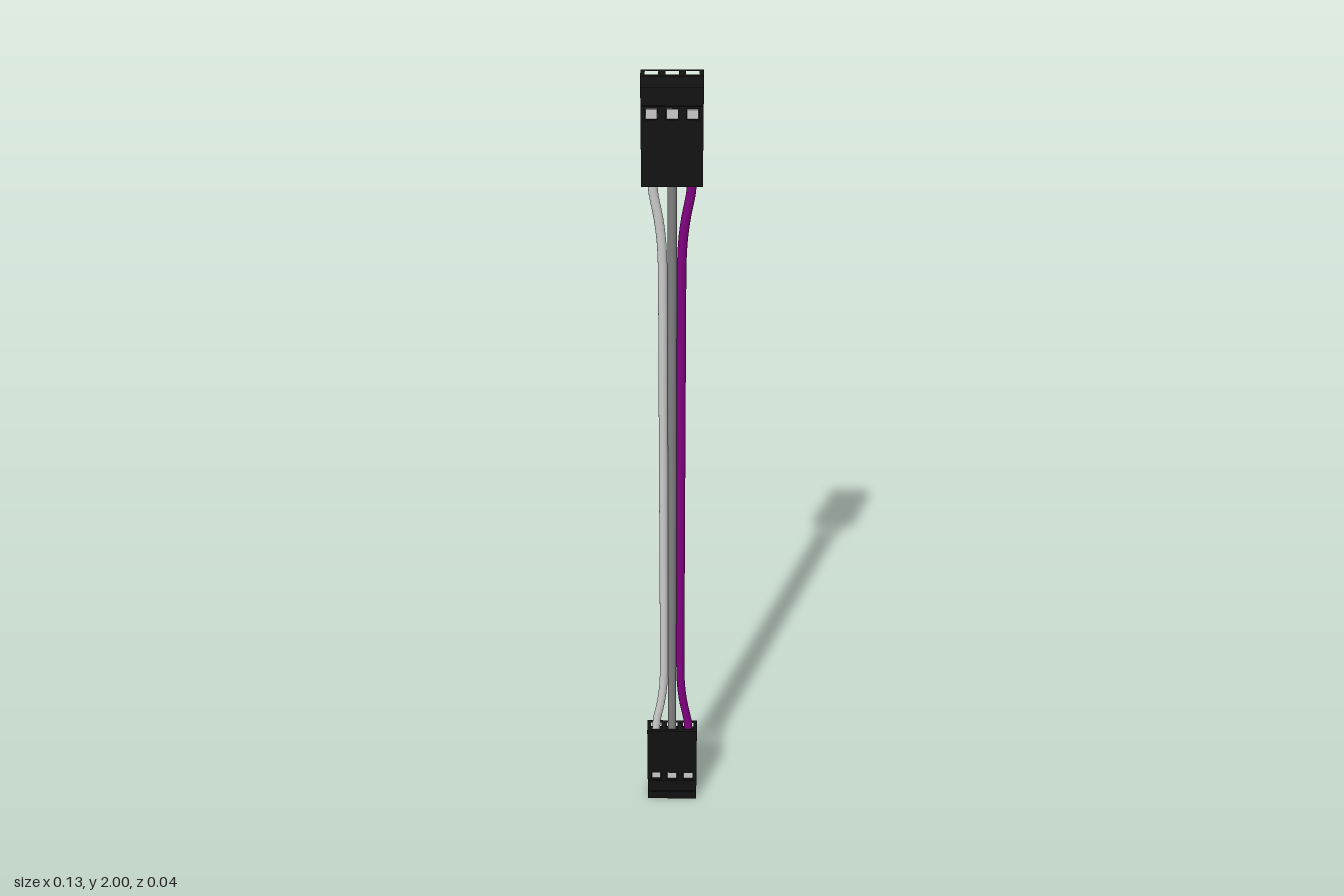
import * as THREE from 'three';

const W = 0.066;        // connector half width
const BACK = -0.022;    // connector back plane
const FRONT = 0.022;    // connector front plane
const PITCH = 0.043;    // spacing of the three pins
const H = 0.24;         // connector height
const pins = [-PITCH, 0, PITCH];

const black = new THREE.MeshStandardMaterial({ color: 0x111111 });
const metal = new THREE.MeshStandardMaterial({ color: 0xcccccc });

// One horizontal slice of the housing, extruded from y0 to y1.
function slice(y0, y1, { front = FRONT, notched, sockets, windows } = {}) {
  const s = new THREE.Shape(); // drawn in x and -z
  const pts = [];
  if (notched) pts.push([-W, 0], [-W + 0.007, 0], [-W + 0.007, BACK], [W - 0.007, BACK], [W - 0.007, 0], [W, 0]);
  else pts.push([-W, BACK], [W, BACK]);
  pts.push([W, front]);
  if (windows) {
    for (const x of [...pins].reverse()) {
      pts.push([x + 0.013, front], [x + 0.013, front - 0.01], [x - 0.013, front - 0.01], [x - 0.013, front]);
    }
  }
  pts.push([-W, front]);
  s.setFromPoints(pts.map(([x, z]) => new THREE.Vector2(x, -z)));
  if (sockets) {
    for (const x of pins) {
      const a = 0.014, b = 0.013;
      s.holes.push(new THREE.Path([[-a, -b], [-a, b], [a, b], [a, -b]]
        .map(([dx, dz]) => new THREE.Vector2(x + dx, dz))));
    }
  }
  const g = new THREE.ExtrudeGeometry(s, { depth: y1 - y0, bevelEnabled: false });
  g.rotateX(-Math.PI / 2);
  g.translate(0, y0, 0);
  return new THREE.Mesh(g, black);
}

// Three-pin connector: wires enter at y = 0, sockets open at y = H.
function connector(name) {
  const group = new THREE.Group();
  group.name = name;
  const housing = new THREE.Group();
  housing.name = 'housing';
  housing.add(
    slice(0, 0.02, { sockets: true }),
    slice(0.02, 0.1),
    slice(0.1, 0.147, { notched: true }),
    slice(0.147, 0.171, { notched: true, windows: true }),
    slice(0.171, 0.176, { notched: true }),
    slice(0.176, 0.2, { front: 0.018, notched: true, sockets: true }),
    slice(0.2, 0.215, { front: 0.018, sockets: true }),
    slice(0.215, H, { sockets: true })
  );
  housing.children.forEach((m) => { m.name = 'housingSlice'; });
  group.add(housing);

  // Metal contacts showing in the windows
  for (const x of pins) {
    const contact = new THREE.Mesh(new THREE.BoxGeometry(0.024, 0.02, 0.008), metal);
    contact.name = 'contact';
    contact.position.set(x, 0.158, 0.015);
    group.add(contact);
  }
  return group;
}

// Wire that spreads from the bundle to its pin at both ends.
function wire(name, side, color) {
  const stations = [[0.225, 0.043], [0.26, 0.041], [0.32, 0.030], [0.37, 0.024], [0.42, 0.0215], [0.5, 0.021], [0.75, 0.021]];
  const half = stations.map(([y, x]) => new THREE.Vector3(side * x, y, 0));
  const upper = half.map((p) => new THREE.Vector3(p.x, 2 - p.y, 0)).reverse();
  const path = new THREE.CatmullRomCurve3([...half, ...upper]);
  const mesh = new THREE.Mesh(
    new THREE.TubeGeometry(path, 80, 0.0105, 16),
    new THREE.MeshStandardMaterial({ color })
  );
  mesh.name = name;
  return mesh;
}

export function createModel() {
  const model = new THREE.Group();
  model.name = 'jumperCable';

  const top = connector('topConnector');
  top.position.y = 2 - H;
  const bottom = connector('bottomConnector');
  bottom.rotation.z = Math.PI;
  bottom.position.y = H;
  model.add(top, bottom);

  model.add(
    wire('rightWire', -1, 0xcccccc),
    wire('middleWire', 0, 0x808080),
    wire('leftWire', 1, 0x800080)
  );
  return model;
}
